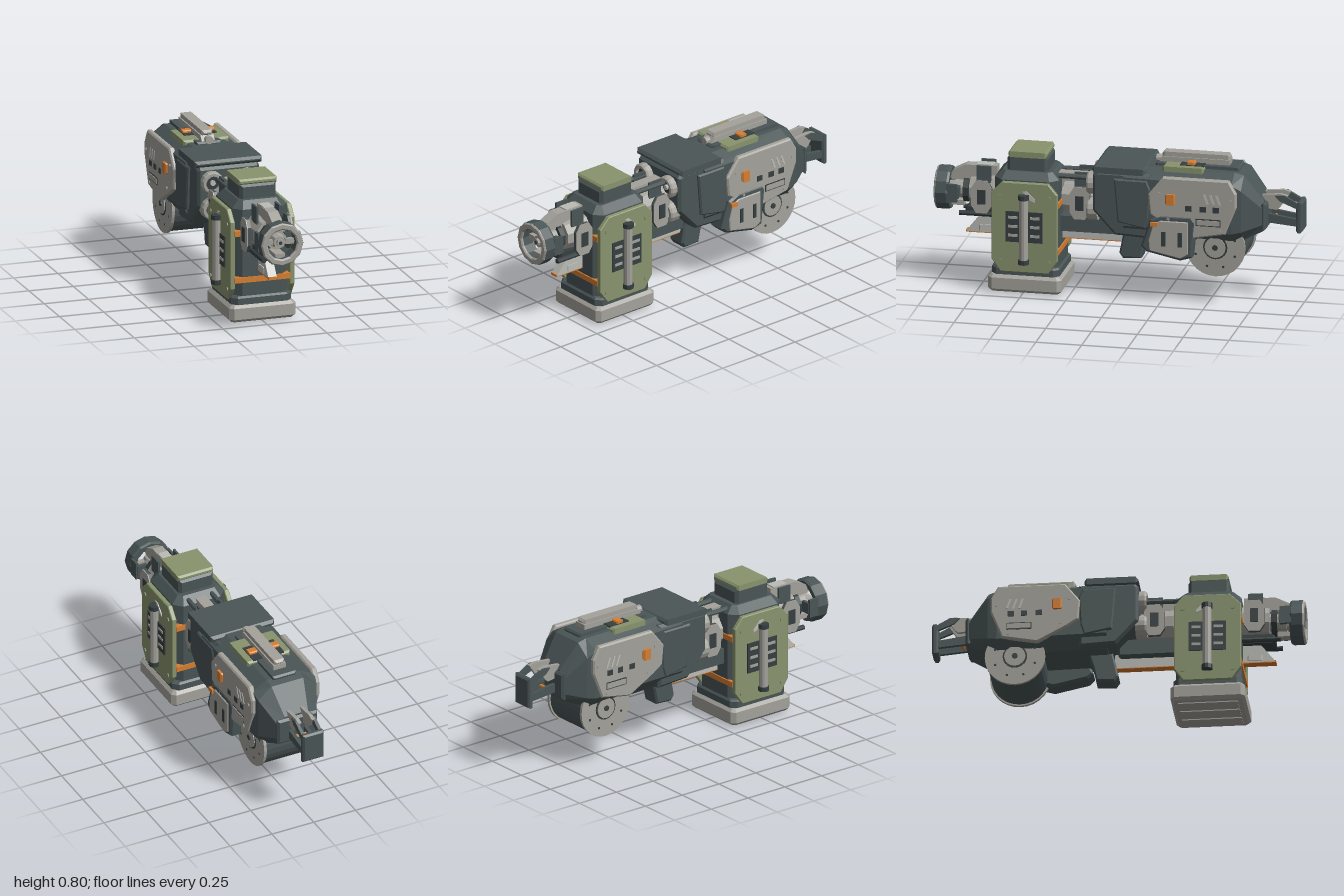
import * as THREE from 'three';

const mat = (name, color) => {
  const m = new THREE.MeshStandardMaterial({ color });
  m.name = name;
  return m;
};

export function createModel() {
  const root = new THREE.Group();
  root.name = 'launcher';
  const dark = mat('dark slate', 0x4a5556);
  const black = mat('charcoal', 0x363f41);
  const gray = mat('warm gray', 0xa4a29b);
  const light = mat('light gray', 0xbcbcb7);
  const green = mat('olive green', 0x88936d);
  const orange = mat('orange', 0xd67e32);

  // every mesh is faceted
  function add(name, geo, material) {
    const g = geo.index ? geo.toNonIndexed() : geo;
    g.computeVertexNormals();
    const m = new THREE.Mesh(g, material);
    m.name = name;
    root.add(m);
    return m;
  }
  const shape = (pts) => new THREE.Shape(pts.map(p => new THREE.Vector2(...p)));
  // box given by its ranges, with optional chamfered edges
  function box(name, m, [x0, x1], [y0, y1], [z0, z1], c = 0) {
    const w = x1 - x0, h = y1 - y0, d = z1 - z0;
    let g;
    if (c) {
      const a = w / 2 - c, b = h / 2 - c;
      g = new THREE.ExtrudeGeometry(shape([[-a, -b], [a, -b], [a, b], [-a, b]]),
        { depth: d - 2 * c, bevelSize: c, bevelThickness: c, bevelSegments: 1 });
      g.translate(0, 0, c - d / 2);
    } else g = new THREE.BoxGeometry(w, h, d);
    return add(name, g.translate((x0 + x1) / 2, (y0 + y1) / 2, (z0 + z1) / 2), m);
  }
  // side outline of [z, y] points, extruded from x0 to x1
  function panel(name, m, pts, x0, x1, c = 0) {
    const g = new THREE.ExtrudeGeometry(shape(pts.map(([z, y]) => [-z, y])), {
      depth: x1 - x0 - 2 * c, bevelEnabled: c > 0, bevelSize: c, bevelOffset: -c, bevelThickness: c, bevelSegments: 1 });
    return add(name, g.rotateY(Math.PI / 2).translate(x0 + c, 0, 0), m);
  }
  // upright block with cut corners (k) and chamfered top and bottom (c), centred on z = 0.49
  function block(name, m, w, d, k, y0, y1, c) {
    const plan = [[w - k, -d], [w, k - d], [w, d - k], [w - k, d], [k - w, d], [-w, d - k], [-w, k - d], [k - w, -d]];
    const g = new THREE.ExtrudeGeometry(shape(plan), { depth: y1 - y0 - 2 * c, bevelSize: c, bevelOffset: -c, bevelThickness: c, bevelSegments: 1 });
    return add(name, g.rotateX(-Math.PI / 2).translate(0, y0 + c, 0.49), m);
  }
  const span = (s, a, b) => (s > 0 ? [a, b] : [-b, -a]);
  const sides = (fn) => [1, -1].forEach(fn);
  const sidePanel = (s, name, m, pts, a, b, c) => panel(name, m, pts, ...span(s, a, b), c);
  // cylinder along an axis
  function rod(name, m, axis, r, x, y, z, len, n = 12, r2 = r) {
    const g = new THREE.CylinderGeometry(r2, r, len, n);
    if (axis === 'z') g.rotateX(Math.PI / 2);
    if (axis === 'x') g.rotateZ(-Math.PI / 2);
    return add(name, g.translate(x, y, z), m);
  }
  // ring of profile [radius, z] turned around the z axis
  function ring(name, m, pts, x, y, n) {
    const g = new THREE.LatheGeometry(pts.map(p => new THREE.Vector2(...p)), n);
    return add(name, g.rotateX(Math.PI / 2).translate(x, y, 0), m);
  }
  // eight-sided hull lofted through [z, width, topWidth, bottomWidth, bottom, low, shoulder, top]
  function loft(name, m, sections) {
    const pos = [], idx = [];
    for (const [z, w, tw, bw, y0, y1, y2, y3] of sections)
      for (const [x, y] of [[bw, y0], [w, y1], [w, y2], [tw, y3], [-tw, y3], [-w, y2], [-w, y1], [-bw, y0]]) pos.push(x, y, z);
    const last = (sections.length - 1) * 8;
    for (let k = 0; k < last; k += 8)
      for (let i = 0; i < 8; i++) {
        const j = (i + 1) % 8;
        idx.push(k + i, k + 8 + i, k + 8 + j, k + i, k + 8 + j, k + j);
      }
    for (let i = 1; i < 7; i++) idx.push(0, i, i + 1, last, last + i + 1, last + i);
    const g = new THREE.BufferGeometry();
    g.setAttribute('position', new THREE.Float32BufferAttribute(pos, 3));
    g.setIndex(idx);
    return add(name, g, m);
  }

  // --- rear hull
  loft('rearHull', dark, [
    [-0.05, 0.187, 0.1, 0.13, 0.35, 0.42, 0.69, 0.735],
    [-0.64, 0.187, 0.1, 0.13, 0.34, 0.41, 0.68, 0.73],
    [-0.69, 0.175, 0.095, 0.12, 0.36, 0.42, 0.65, 0.715],
    [-0.795, 0.115, 0.07, 0.09, 0.41, 0.45, 0.54, 0.575]]);
  panel('frontHousing', dark, [[0.12, 0.69], [0.12, 0.49], [0, 0.36], [-0.2, 0.35], [-0.2, 0.71], [0.1, 0.71]], -0.175, 0.175, 0.015);
  box('housingLid', dark, [-0.19, 0.19], [0.705, 0.74], [-0.17, 0.12], 0.014);
  box('rearCollar', dark, [-0.12, 0.12], [0.42, 0.57], [-0.815, -0.785], 0.012);

  sides(s => {
    sidePanel(s, 'housingCheek', dark, [[0, 0.68], [-0.18, 0.68], [-0.2, 0.63], [-0.19, 0.47], [-0.17, 0.41], [-0.02, 0.44]], 0.17, 0.194, 0.008);
    // gray armour plate with inset details
    sidePanel(s, 'armourPlate', gray, [[-0.19, 0.61], [-0.27, 0.71], [-0.63, 0.71], [-0.67, 0.64], [-0.67, 0.56], [-0.61, 0.41], [-0.42, 0.375], [-0.26, 0.46], [-0.2, 0.5]], 0.17, 0.205, 0.008);
    box('plateLatch', orange, span(s, 0.2, 0.22), [0.56, 0.62], [-0.34, -0.285], 0.008);
    for (const z of [-0.41, -0.49, -0.56]) box('plateSocket', black, span(s, 0.2, 0.209), [0.53, 0.56], [z - 0.017, z + 0.017]);
    for (const z of [-0.49, -0.523, -0.556])
      sidePanel(s, 'plateSlash', light, [[z, 0.63], [z - 0.02, 0.575], [z - 0.032, 0.575], [z - 0.012, 0.63]], 0.2, 0.208);
    box('plateSlot', black, span(s, 0.2, 0.207), [0.452, 0.492], [-0.585, -0.45]);
    box('plateSlotFill', gray, span(s, 0.2, 0.211), [0.458, 0.486], [-0.58, -0.455]);
    for (const [z, y] of [[-0.25, 0.62], [-0.64, 0.6], [-0.58, 0.43], [-0.3, 0.48]]) rod('plateBolt', gray, 'x', 0.009, s * 0.205, y, z, 0.01, 8);
    // roof pads with a button in a dark recess
    box('roofPad', green, span(s, 0.035, 0.128), [0.69, 0.748], [-0.475, -0.25], 0.01);
    box('buttonRecess', black, span(s, 0.03, 0.092), [0.74, 0.752], [-0.47, -0.34]);
    box('roofButton', orange, span(s, 0.04, 0.09), [0.745, 0.766], [-0.42, -0.375], 0.005);
  });

  // --- roof rail
  box('roofPlate', dark, [-0.07, 0.07], [0.72, 0.747], [-0.66, -0.2], 0.01);
  panel('railBase', gray, [[-0.21, 0.74], [-0.24, 0.775], [-0.6, 0.775], [-0.6, 0.74]], -0.037, 0.037);
  box('railTop', gray, [-0.03, 0.03], [0.77, 0.8], [-0.6, -0.23], 0.012);
  rod('railKnob', gray, 'z', 0.022, 0, 0.755, -0.21, 0.03, 10);

  // --- side pod, left only
  panel('sidePod', dark, [[-0.2, 0.47], [-0.26, 0.5], [-0.43, 0.5], [-0.45, 0.47], [-0.43, 0.27], [-0.365, 0.25], [-0.18, 0.29], [-0.15, 0.32]], 0.1, 0.21, 0.012);
  panel('podPlate', gray, [[-0.22, 0.45], [-0.26, 0.47], [-0.41, 0.47], [-0.41, 0.29], [-0.37, 0.265], [-0.2, 0.3], [-0.195, 0.36]], 0.205, 0.217, 0.004);
  box('podLatch', orange, [0.21, 0.225], [0.438, 0.46], [-0.245, -0.205]);
  for (const z of [-0.277, -0.367]) box('podSlot', black, [0.212, 0.221], [0.33, 0.41], [z - 0.011, z + 0.011]);

  // --- drum under the hull
  rod('drum', dark, 'x', 0.153, 0, 0.32, -0.545, 0.27, 28);
  sides(s => {
    rod('drumFlange', gray, 'x', 0.162, s * 0.139, 0.32, -0.545, 0.016, 28);
    rod('drumGroove', black, 'x', 0.066, s * 0.145, 0.32, -0.545, 0.01, 20);
    rod('drumHub', gray, 'x', 0.057, s * 0.148, 0.32, -0.545, 0.014, 16);
    rod('drumAxle', black, 'x', 0.016, s * 0.153, 0.32, -0.545, 0.014, 8);
    for (let i = 0; i < 8; i++) {
      const a = i * Math.PI / 4 + 0.4;
      rod('drumBolt', black, 'x', 0.007, s * 0.145, 0.32 + 0.115 * Math.sin(a), -0.545 + 0.115 * Math.cos(a), 0.008, 8);
    }
  });

  // --- rear buckle
  box('buckleEnd', dark, [-0.062, 0.062], [0.4, 0.57], [-1, -0.965], 0.01);
  sides(s => {
    panel('buckleArm', dark, [[-0.8, 0.5], [-0.8, 0.45], [-0.97, 0.435], [-0.97, 0.475]], ...span(s, 0.035, 0.055));
    panel('buckleLink', gray, [[-0.78, 0.6], [-0.78, 0.53], [-0.86, 0.52], [-0.88, 0.54], [-0.92, 0.6], [-0.88, 0.61]], ...span(s, 0.03, 0.05));
    panel('buckleTopArm', dark, [[-0.85, 0.6], [-0.9, 0.605], [-0.98, 0.56], [-0.98, 0.53], [-0.88, 0.57]], ...span(s, 0.042, 0.06));
  });
  rod('bucklePin', orange, 'x', 0.01, 0, 0.465, -0.84, 0.1, 8);

  // --- trigger foot below the housing
  panel('triggerFoot', dark, [[-0.03, 0.36], [-0.16, 0.36], [-0.135, 0.27], [-0.12, 0.2], [-0.02, 0.195], [0, 0.225], [-0.015, 0.3]], -0.055, 0.055, 0.01);

  // --- canister: base, body, bands and cap
  block('canisterBase', gray, 0.188, 0.2, 0.022, 0.006, 0.1, 0.016);
  for (const x of [-0.105, 0, 0.105]) box('baseFoot', gray, [x - 0.04, x + 0.04], [0, 0.008], [0.33, 0.65]);
  block('baseCollar', dark, 0.17, 0.185, 0.03, 0.09, 0.145, 0.01);
  block('canisterBody', dark, 0.155, 0.175, 0.045, 0.1, 0.665, 0.04);
  for (const y of [0.22, 0.48]) box('canisterBand', orange, [-0.157, 0.157], [y, y + 0.03], [0.308, 0.672]);
  box('capNeck', dark, [-0.103, 0.103], [0.62, 0.745], [0.38, 0.6], 0.016);
  box('capTop', green, [-0.107, 0.107], [0.738, 0.77], [0.385, 0.595], 0.01);

  sides(s => {
    sidePanel(s, 'canisterCheek', green, [[0.61, 0.62], [0.36, 0.62], [0.31, 0.56], [0.31, 0.19], [0.36, 0.12], [0.62, 0.12], [0.67, 0.19], [0.67, 0.56]], 0.155, 0.182, 0.004);
    box('cheekInset', black, span(s, 0.175, 0.188), [0.29, 0.46], [0.39, 0.59]);
    for (const y of [0.32, 0.37, 0.42]) for (const z of [0.43, 0.55]) box('insetRib', gray, span(s, 0.185, 0.192), [y, y + 0.015], [z - 0.025, z + 0.025]);
    sidePanel(s, 'cheekMark', light, [[0.5, 0.575], [0.475, 0.575], [0.43, 0.53], [0.43, 0.515], [0.455, 0.525]], 0.175, 0.187);
    for (const z of [0.355, 0.625]) for (const y of [0.18, 0.54]) rod('cheekBolt', green, 'x', 0.012, s * 0.182, y, z, 0.012, 8);
    rod('sideBar', gray, 'y', 0.024, s * 0.197, 0.365, 0.49, 0.36, 10);
    for (const y of [0.185, 0.545]) rod('sideBarCap', black, 'y', 0.03, s * 0.197, y, 0.49, 0.025, 10);
  });

  // --- barrel and open muzzle ring
  const Y = 0.515;
  rod('barrelCore', gray, 'z', 0.055, 0, Y, 0.5, 0.8, 10);
  rod('barrelSleeve', gray, 'z', 0.1, 0, Y, 0.735, 0.15, 10, 0.085);
  rod('barrelCollar', black, 'z', 0.075, 0, Y, 0.835, 0.03, 10);
  rod('rearSleeve', gray, 'z', 0.095, 0, Y, 0.2, 0.2, 10);
  ring('muzzleRing', dark, [[0.085, 0.92], [0.113, 0.92], [0.12, 0.932], [0.12, 0.99], [0.085, 0.99], [0.085, 0.92]], 0, Y, 12);
  ring('muzzleLip', gray, [[0.12, 0.986], [0.118, 0.994], [0.112, 1], [0.09, 1], [0.083, 0.994], [0.083, 0.986]], 0, Y, 12);
  rod('muzzleCore', gray, 'z', 0.045, 0, Y, 0.92, 0.06, 8, 0.034);
  rod('muzzleTip', gray, 'z', 0.02, 0, Y, 0.955, 0.02, 8);
  rod('muzzleBore', black, 'z', 0.01, 0, Y, 0.964, 0.006, 8);
  for (const y of [Y - 0.075, Y + 0.075]) box('muzzleSpoke', gray, [-0.028, 0.028], [y - 0.014, y + 0.014], [0.85, 0.96]);
  sides(s => {
    box('muzzleSpoke', gray, span(s, 0.035, 0.09), [Y - 0.015, Y + 0.015], [0.92, 0.945]);
    box('muzzleProng', dark, span(s, 0.1, 0.114), [Y - 0.05, Y + 0.05], [0.87, 0.93]);
    box('prongLink', dark, span(s, 0.05, 0.108), [Y - 0.03, Y + 0.03], [0.865, 0.885]);
  });
  panel('topRail', gray, [[0.92, 0.6], [0.91, 0.62], [0.84, 0.655], [0.67, 0.657], [0.67, 0.57], [0.92, 0.57]], -0.03, 0.03);
  box('topRailCap', light, [-0.028, 0.028], [0.645, 0.662], [0.69, 0.78]);
  box('topRailRear', gray, [-0.03, 0.03], [0.57, 0.645], [0.1, 0.4], 0.01);
  box('underBeam', black, [-0.055, 0.055], [0.38, 0.43], [0.62, 0.84], 0.012);
  box('underBeamRear', dark, [-0.08, 0.08], [0.335, 0.42], [0, 0.35], 0.012);

  sides(s => {
    // clamp plates ahead of and behind the canister
    for (const z of [0.2, 0.735]) {
      const pts = [[0.03, 0.6], [-0.03, 0.6], [-0.055, 0.56], [-0.055, 0.46], [-0.03, 0.42], [0.03, 0.42], [0.055, 0.46], [0.055, 0.56]]
        .map(([a, b]) => [a + z, b]);
      sidePanel(s, 'clampPlate', dark, pts, 0.106, 0.124);
      sidePanel(s, 'clampFace', gray, pts, 0.123, 0.129);
      box('clampInset', black, span(s, 0.12, 0.133), [0.47, 0.55], [z - 0.022, z + 0.022]);
      box('clampArm', dark, span(s, 0.06, 0.11), [0.48, 0.54], [z - 0.03, z + 0.03]);
      box('clampPost', dark, span(s, 0.058, 0.07), [0.57, 0.665], [z - 0.04, z + 0.04]);
    }
    rod('lowerRod', black, 'z', 0.014, s * 0.06, 0.395, 0.5, 0.74, 8);
    rod('upperRod', dark, 'z', 0.014, s * 0.07, 0.64, 0.22, 0.3, 8);
    // tubes set into the front of the housing
    for (const y of [0.625, 0.48]) {
      ring('frontTube', gray, [[0.045, 0.1], [0.062, 0.1], [0.062, 0.15], [0.055, 0.16], [0.04, 0.16], [0.04, 0.1]], s * 0.1, y, 14);
      rod('tubeCore', black, 'z', 0.04, s * 0.1, y, 0.125, 0.03, 12);
      rod('tubePin', light, 'z', 0.015, s * 0.1, y, 0.14, 0.03, 8);
    }
  });

  // --- lower rail with orange underside and tip
  panel('lowerRail', light, [[0.84, 0.282], [0.755, 0.39], [-0.02, 0.39], [-0.02, 0.282]], -0.024, 0.024);
  box('railStrip', orange, [-0.024, 0.024], [0.278, 0.283], [-0.02, 0.838]);
  box('railTipStrip', orange, [-0.024, 0.024], [0.278, 0.29], [0.834, 0.842]);
  box('railTip', light, [-0.03, 0.03], [0.29, 0.325], [0.69, 0.77], 0.006);

  return root;
}
